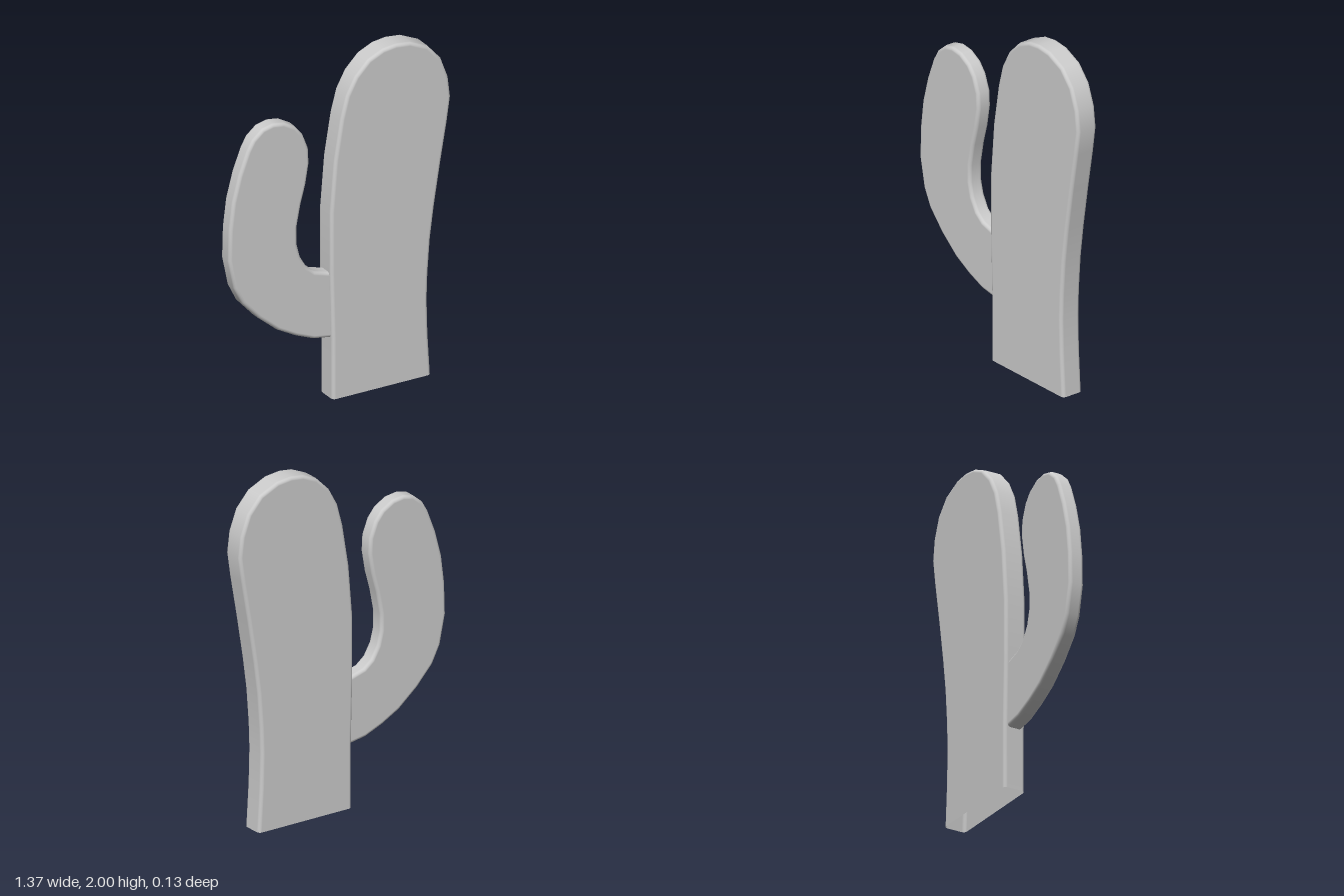
import * as THREE from 'three';
import { mergeGeometries } from 'three/addons/utils/BufferGeometryUtils.js';

const BEVEL = 0.02, STEPS = 4;

// Outlines run clockwise seen from the front and stay open at their ends.
const TRUNK = [
  [-0.055, 0], [-0.055, 0.36], [-0.065, 0.75], [-0.065, 1.1], [-0.04, 1.4], [0, 1.64],
  [0.035, 1.77], [0.09, 1.87], [0.17, 1.95], [0.26, 1.99], [0.34, 2], [0.43, 1.99],
  [0.54, 1.94], [0.62, 1.85], [0.665, 1.73], [0.68, 1.61], [0.66, 1.47], [0.62, 1.24],
  [0.58, 0.99], [0.555, 0.8], [0.54, 0.6], [0.535, 0.45], [0.54, 0.25], [0.555, 0],
];
const ARM = [
  [-0.04, 0.355], [-0.16, 0.375], [-0.27, 0.42], [-0.38, 0.48], [-0.5, 0.58], [-0.6, 0.69],
  [-0.65, 0.79], [-0.685, 0.96], [-0.68, 1.14], [-0.66, 1.3], [-0.62, 1.45], [-0.57, 1.58],
  [-0.535, 1.64], [-0.475, 1.69], [-0.41, 1.705], [-0.34, 1.695], [-0.27, 1.655],
  [-0.225, 1.6], [-0.19, 1.51], [-0.185, 1.42], [-0.205, 1.3], [-0.235, 1.19], [-0.26, 1.06],
  [-0.26, 0.96], [-0.24, 0.88], [-0.2, 0.81], [-0.15, 0.77], [-0.07, 0.747], [-0.04, 0.742],
];

// Flat slab with rounded front and back edges, left open between the outline's ends.
function roundedSlab(outline, halfDepth) {
  const n = outline.length;
  const pts = outline.map(([x, y]) => new THREE.Vector2(x, y));
  const outward = pts.map((p, i) => {
    const before = pts[Math.max(i - 1, 0)], after = pts[Math.min(i + 1, n - 1)];
    const d1 = p.clone().sub(before).normalize(), d2 = after.clone().sub(p).normalize();
    const d = d1.add(d2).normalize();
    return new THREE.Vector2(-d.y, d.x);
  });
  const inset = (i, amount) => {
    const q = pts[i].clone().addScaledVector(outward[i], -amount);
    q.y = Math.max(q.y, 0);
    if (i === 0 || i === n - 1) q.y = pts[i].y === 0 ? 0 : q.y;
    return q;
  };

  // Rim: quarter-round, straight wall, quarter-round
  const position = [], normal = [], index = [];
  const rings = 2 * (STEPS + 1);
  for (let j = 0; j < rings; j++) {
    const side = j <= STEPS ? 1 : -1;
    const k = side > 0 ? STEPS - j : j - STEPS - 1;
    const a = (k / STEPS) * Math.PI / 2;
    const z = side * (halfDepth - BEVEL + BEVEL * Math.sin(a));
    for (let i = 0; i < n; i++) {
      const q = inset(i, BEVEL * (1 - Math.cos(a)));
      position.push(q.x, q.y, z);
      normal.push(outward[i].x * Math.cos(a), outward[i].y * Math.cos(a), side * Math.sin(a));
      if (j < rings - 1 && i < n - 1) {
        const p = j * n + i;
        index.push(p, p + 1, p + n, p + 1, p + n + 1, p + n);
      }
    }
  }
  const rim = new THREE.BufferGeometry();
  rim.setAttribute('position', new THREE.Float32BufferAttribute(position, 3));
  rim.setAttribute('normal', new THREE.Float32BufferAttribute(normal, 3));
  rim.setIndex(index);

  // Front and back faces
  const front = new THREE.ShapeGeometry(new THREE.Shape(pts.map((p, i) => inset(i, BEVEL))));
  front.deleteAttribute('uv');
  front.translate(0, 0, halfDepth);
  const back = front.clone().scale(1, 1, -1);
  back.index.array.reverse();
  return mergeGeometries([rim, front, back].map((g) => g.toNonIndexed()));
}

export function createModel() {
  const material = new THREE.MeshStandardMaterial({ color: 0xcccccc, side: THREE.DoubleSide });
  const group = new THREE.Group();
  group.name = 'cactus';
  for (const [name, outline, halfDepth] of [['trunk', TRUNK, 0.065], ['arm', ARM, 0.045]]) {
    const mesh = new THREE.Mesh(roundedSlab(outline, halfDepth), material);
    mesh.name = name;
    group.add(mesh);
  }
  return group;
}
